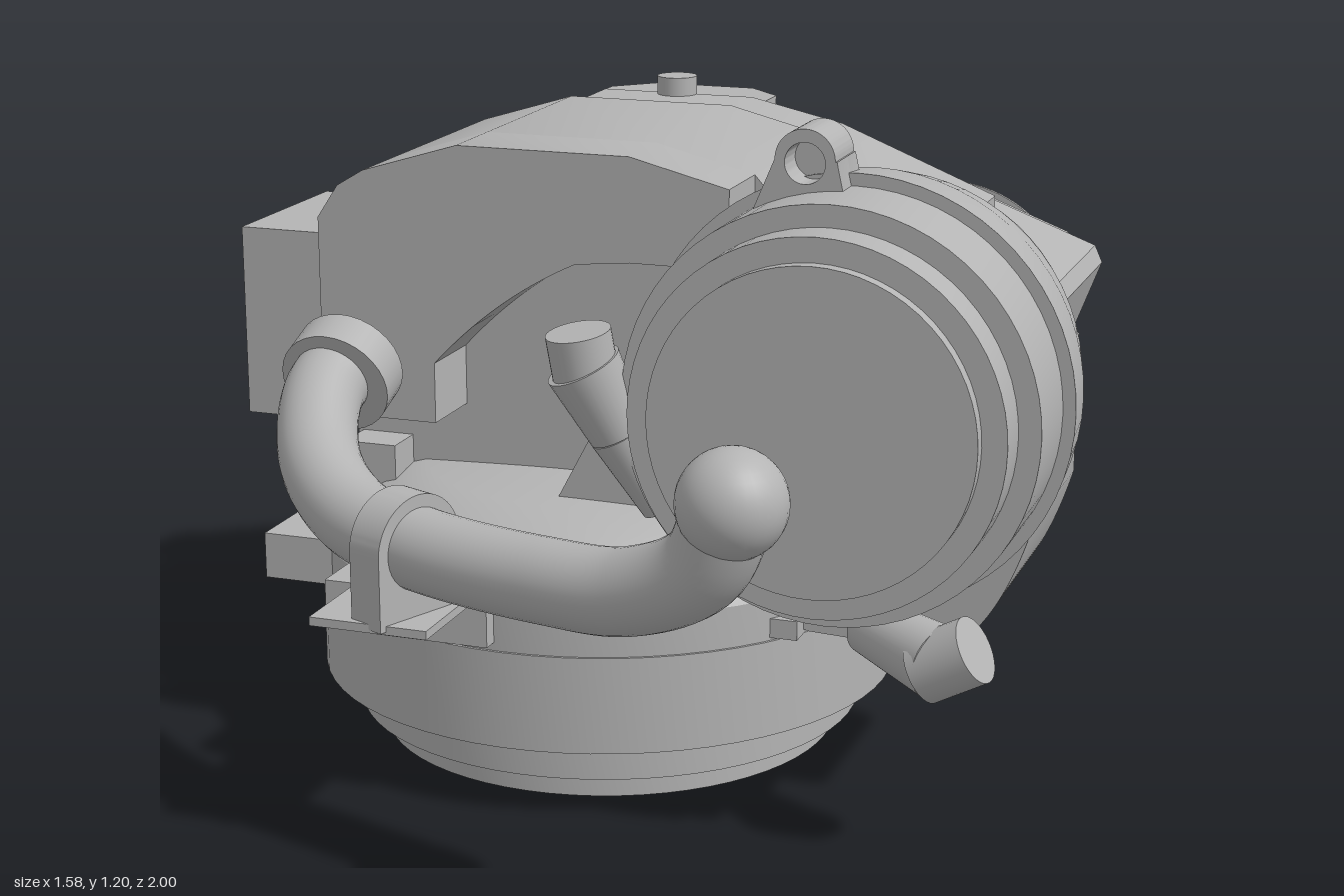
import * as THREE from 'three';
import { toCreasedNormals } from 'three/addons/utils/BufferGeometryUtils.js';

const grey = new THREE.MeshStandardMaterial({ color: 0xb4b4b4, side: THREE.DoubleSide });
grey.name = 'castGrey';
const V = (x, y, z) => new THREE.Vector3(x, y, z);

export function createModel() {
  const root = new THREE.Group();
  root.name = 'rotaryHead';

  const add = (name, geo, x = 0, y = 0, z = 0) => {
    const m = new THREE.Mesh(geo, grey);
    m.name = name;
    m.position.set(x, y, z);
    root.add(m);
    return m;
  };
  // box given by its limits on each axis
  const box = (name, x0, x1, y0, y1, z0, z1) =>
    add(name, new THREE.BoxGeometry(x1 - x0, y1 - y0, z1 - z0), (x0 + x1) / 2, (y0 + y1) / 2, (z0 + z1) / 2);
  const lathe = (name, pts, x, y, z) => add(name,
    toCreasedNormals(new THREE.LatheGeometry(pts.map(p => new THREE.Vector2(p[0], p[1])), 64), 0.5), x, y, z);
  const shape = pts => new THREE.Shape(pts.map(p => new THREE.Vector2(p[0], p[1])));
  // front outline extruded between two z values
  const slab = (name, s, z0, z1) => add(name, toCreasedNormals(
    new THREE.ExtrudeGeometry(s, { depth: z1 - z0, bevelEnabled: false, curveSegments: 32 }), 0.5), 0, 0, z0);
  // cylinder between two points
  const rod = (name, a, b, r0, r1 = r0) => {
    const m = add(name, new THREE.CylinderGeometry(r1, r0, a.distanceTo(b), 32));
    m.position.copy(a).lerp(b, 0.5);
    m.quaternion.setFromUnitVectors(V(0, 1, 0), b.clone().sub(a).normalize());
    return m;
  };
  // chamfered rectangle
  const chamfer = (x0, x1, y0, y1, c) => shape([[x0 + c, y0], [x1 - c, y0], [x1, y0 + c], [x1, y1 - c],
    [x1 - c, y1], [x0 + c, y1], [x0, y1 - c], [x0, y0 + c]]);
  // chamfered block standing upright, its plan in x and z
  const tower = (name, x0, x1, z0, z1, c, y0, y1) => {
    const g = new THREE.ExtrudeGeometry(chamfer(x0, x1, -z1, -z0, c), { depth: y1 - y0, bevelEnabled: false });
    g.rotateX(-Math.PI / 2);
    return add(name, g, 0, y0, 0);
  };

  // stepped turntable base with a central bore, and its domed top
  lathe('base', [[0.155, 0.3], [0.155, 0], [0.425, 0], [0.425, 0.05], [0.47, 0.05], [0.47, 0.125],
    [0.535, 0.125], [0.535, 0.3], [0.155, 0.3]], -0.147, 0, -0.025);
  lathe('baseDome', [[0, 0.3], [0.53, 0.3], [0.53, 0.375], [0.515, 0.4], [0.48, 0.44], [0.42, 0.48],
    [0.34, 0.505], [0, 0.52]], -0.147, 0, -0.025);
  box('leftLug', -0.7, -0.55, 0.305, 0.39, 0.08, 0.3);
  box('frontLug', -0.48, -0.16, 0.31, 0.39, 0.35, 0.5);
  box('sideLug', 0.15, 0.32, 0.305, 0.34, 0.15, 0.3);
  box('rearLug', -0.37, -0.14, 0.305, 0.42, -0.6, -0.4);

  // arched housing: core, open front wall and raised roof panel
  slab('housingCore', shape([[-0.59, 0.47], [-0.59, 0.98], [-0.55, 1.04], [-0.5, 1.07], [-0.32, 1.125],
    [0, 1.125], [0.18, 1.08], [0.25, 1.0], [0.25, 0.47]]), -0.29, 0.12);
  const wall = shape([[-0.59, 0.62], [-0.59, 0.98], [-0.55, 1.04], [-0.5, 1.07], [-0.32, 1.125], [0, 1.125],
    [0.18, 1.08], [0.18, 0.94], [0, 0.94]]);
  wall.lineTo(-0.1, 0.93);
  wall.quadraticCurveTo(-0.25, 0.86, -0.37, 0.73);
  wall.lineTo(-0.37, 0.62);
  slab('housingFront', wall, 0.12, 0.26);
  slab('housingRoof', shape([[-0.3, 0.95], [-0.3, 1.12], [0, 1.12], [0.18, 1.08], [0.48, 0.96], [0.48, 0.85],
    [0.1, 0.85]]), -0.42, -0.03);
  box('housingFoot', -0.58, -0.48, 0.43, 0.55, -0.15, 0.2);

  // casting that joins base and drum
  const arm = shape([[-0.15, 0.48], [-0.02, 0.5]]);
  arm.quadraticCurveTo(0.1, 0.36, 0.33, 0.31);
  arm.lineTo(0.56, 0.3);
  arm.quadraticCurveTo(0.66, 0.34, 0.72, 0.55);
  arm.lineTo(0.72, 0.8);
  arm.lineTo(0.4, 1.05);
  arm.lineTo(0.1, 0.95);
  slab('armCasting', arm, -0.06, 0.26);

  // horizontal drum, stepped towards the front
  lathe('drum', [[0, -0.05], [0.315, -0.05], [0.345, 0.05], [0.37, 0.16], [0.38, 0.27], [0.358, 0.27],
    [0.358, 0.43], [0.32, 0.43], [0.32, 0.505], [0.278, 0.505], [0.278, 0.53], [0, 0.53]],
  0.405, 0.745, 0).rotation.x = Math.PI / 2;

  // coolant ports at the side and foot of the drum
  rod('upperPortHorn', V(0.09, 0.54, 0.36), V(0.03, 0.68, 0.4), 0.03, 0.05);
  rod('upperPortFlare', V(0.03, 0.68, 0.4), V(-0.02, 0.8, 0.43), 0.05, 0.066);
  rod('upperPort', V(-0.015, 0.78, 0.43), V(-0.025, 0.86, 0.44), 0.056);
  rod('lowerPortFlare', V(0.46, 0.365, 0.34), V(0.61, 0.35, 0.44), 0.05, 0.064);
  rod('lowerPort', V(0.58, 0.335, 0.44), V(0.67, 0.385, 0.45), 0.058);

  // hooded lifting lug, closed at the back
  const hood = () => {
    const s = shape([[0.24, 1.06], [0.405, 1.06], [0.385, 1.15]]);
    s.absarc(0.33, 1.15, 0.052, 0, Math.PI, false);
    return s;
  };
  const mouth = hood();
  const hole = new THREE.Path();
  hole.absarc(0.33, 1.145, 0.035, 0, Math.PI * 2, true);
  mouth.holes.push(hole);
  slab('liftingLugBack', hood(), 0.21, 0.26);
  slab('liftingLugMouth', mouth, 0.26, 0.32);

  // square motor behind the drum, tilted to follow the roof
  const tilted = (name, half, c, z0, z1) => {
    const m = slab(name, chamfer(-half, half, -half, half, c), z0, z1);
    m.position.set(0.405, 0.72, z0);
    m.rotation.z = -0.36;
  };
  tilted('rearMotor', 0.205, 0.025, -0.56, 0);
  tilted('rearMotorCap', 0.18, 0.07, -0.66, -0.56);
  rod('rearMotorKnob', V(0.4, 0.745, -0.66), V(0.4, 0.745, -0.7), 0.035);

  // upright motor at the back
  tower('uprightMotor', -0.37, 0.07, -0.63, -0.25, 0.03, 0.48, 1.0);
  tower('uprightMotorCap', -0.32, 0.02, -0.58, -0.25, 0.07, 1.0, 1.11);
  rod('uprightMotorKnob', V(-0.15, 1.1, -0.415), V(-0.15, 1.155, -0.415), 0.038);
  box('uprightMotorPlug', 0.06, 0.2, 0.75, 0.85, -0.52, -0.45);

  // terminal box
  box('terminalBox', -0.79, -0.59, 0.578, 0.93, -0.18, 0.17);
  for (const y of [0.66, 0.76])
    rod('terminalPlug', V(-0.705, y, -0.18), V(-0.705, y, y > 0.7 ? -0.23 : -0.19), 0.025);

  // thin guard plate with a bent mounting tab
  const guard = shape([[0.08, 0.31], [0.2, 0.38]]);
  guard.absarc(0.32, 0.67, 0.25, -1.5, Math.PI * 0.95, false);
  slab('guardPlate', guard, -0.735, -0.727);
  const tab = new THREE.BufferGeometry();
  tab.setAttribute('position', new THREE.Float32BufferAttribute([
    0.08, 0.31, -0.731, -0.1, 0.31, -0.63, -0.1, 0.47, -0.63, 0.08, 0.62, -0.731], 3));
  tab.setIndex([0, 1, 2, 0, 2, 3]);
  tab.computeVertexNormals();
  add('guardTab', tab);

  // hose pipes with end flanges, clamps and brackets
  const pipe = (name, pts, r) => {
    const curve = new THREE.CatmullRomCurve3(pts);
    add(name, new THREE.TubeGeometry(curve, 80, r, 32));
    for (const t of [0, 1]) {
      const p = curve.getPoint(t), d = curve.getTangent(t).multiplyScalar(0.003);
      rod(name + 'End', p.clone().sub(d), p.clone().add(d), r);
    }
    return curve;
  };
  const clamp = (name, curve, t, r, bottom) => {
    const p = curve.getPoint(t), d = curve.getTangent(t);
    d.y = 0;
    d.normalize();
    const s = new THREE.Shape();
    s.absarc(0, 0, r, 0, Math.PI, false);
    s.lineTo(-r, bottom - p.y);
    s.lineTo(r, bottom - p.y);
    const g = new THREE.ExtrudeGeometry(s, { depth: 0.07, bevelEnabled: false, curveSegments: 20 });
    g.translate(0, 0, -0.035);
    const m = add(name, toCreasedNormals(g, 0.5), p.x, p.y, p.z);
    m.rotation.y = Math.atan2(d.x, d.z);
  };

  const front = pipe('frontPipe', [V(-0.51, 0.74, 0.31), V(-0.515, 0.7, 0.41), V(-0.46, 0.62, 0.54),
    V(-0.36, 0.565, 0.63), V(-0.22, 0.545, 0.7), V(0.05, 0.545, 0.79), V(0.22, 0.565, 0.845),
    V(0.35, 0.635, 0.885), V(0.4, 0.745, 0.905)], 0.07);
  add('frontPipeBall', new THREE.SphereGeometry(0.087, 32, 20), 0.402, 0.745, 0.91);
  rod('frontPipeFlange', V(-0.51, 0.735, 0.31), V(-0.51, 0.71, 0.375), 0.1);
  clamp('frontClamp', front, 0.49, 0.09, 0.42);
  box('frontBracketShelf', -0.37, -0.16, 0.415, 0.43, 0.53, 0.78);
  box('frontBracketWall', -0.37, -0.16, 0.315, 0.43, 0.5, 0.535);

  const rear = pipe('rearPipe', [V(-0.565, 0.9, -0.4), V(-0.595, 0.85, -0.49), V(-0.59, 0.75, -0.58),
    V(-0.5, 0.63, -0.71), V(-0.33, 0.565, -0.79), V(-0.1, 0.56, -0.85), V(0.12, 0.605, -0.885),
    V(0.4, 0.735, -0.915)], 0.086);
  rod('rearPipeFlange', V(-0.562, 0.905, -0.39), V(-0.588, 0.87, -0.46), 0.125);
  clamp('rearClamp', rear, 0.7, 0.125, 0.43);
  box('rearBracketShelf', -0.3, -0.08, 0.43, 0.445, -0.78, -0.59);
  box('rearBracketWall', -0.3, -0.1, 0.31, 0.47, -0.63, -0.59);
  box('rearBracketWeb', -0.11, -0.1, 0.31, 0.47, -0.72, -0.6);

  return root;
}
